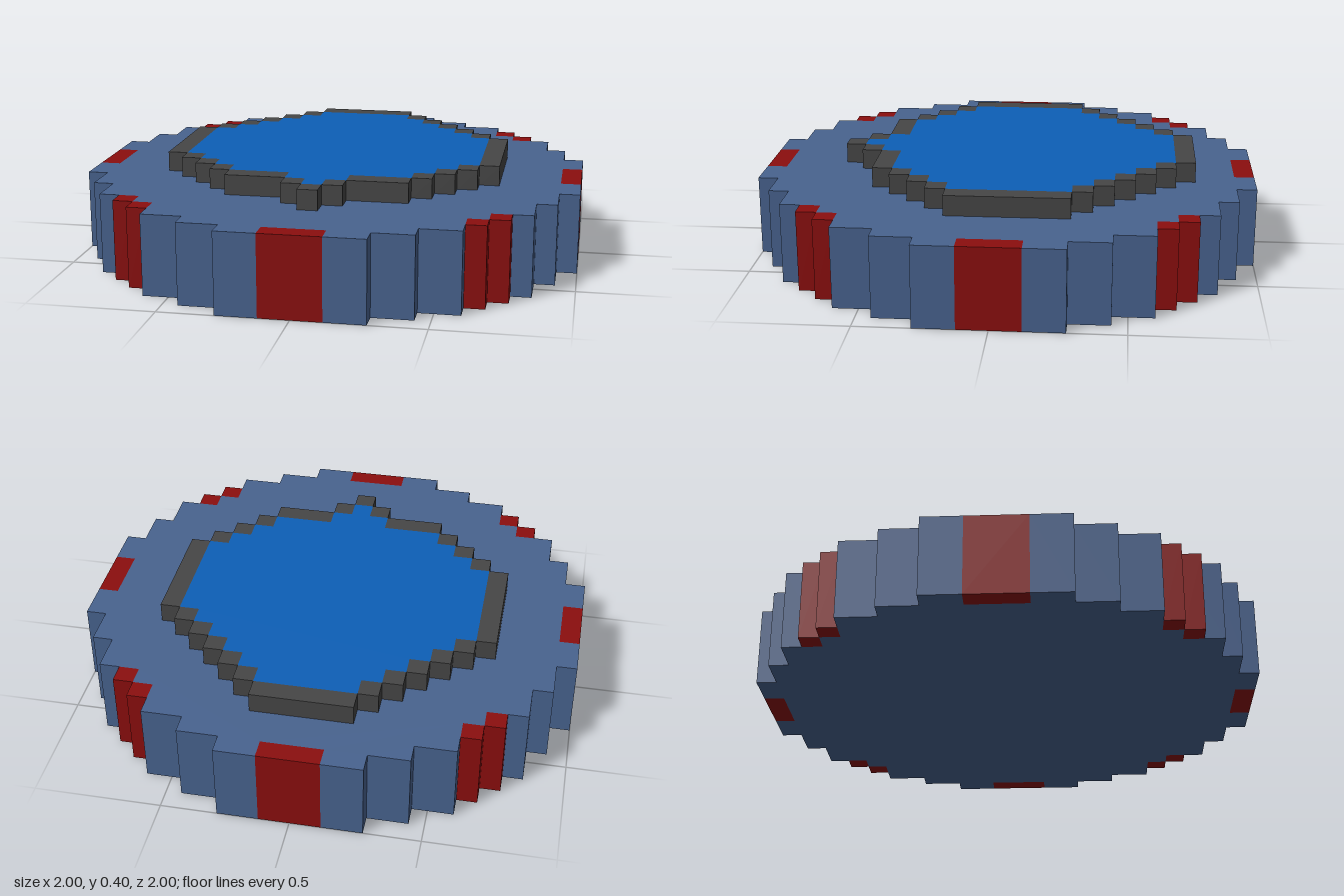
import * as THREE from 'three';

const mat = (name, color) => new THREE.MeshStandardMaterial({ name, color });

// Upright prism from an outline of [x, z] points
function prism(points, y0, y1) {
  const shape = new THREE.Shape(points.map(([x, z]) => new THREE.Vector2(x, -z)));
  const geo = new THREE.ExtrudeGeometry(shape, { depth: y1 - y0, bevelEnabled: false });
  return geo.rotateX(-Math.PI / 2).translate(0, y0, 0);
}

// Box from its limits
function block(x0, x1, y0, y1, z0, z1) {
  return new THREE.BoxGeometry(x1 - x0, y1 - y0, z1 - z0)
    .translate((x0 + x1) / 2, (y0 + y1) / 2, (z0 + z1) / 2);
}

export function createModel() {
  const model = new THREE.Group();
  const slate = mat('slateBlue', 0x48638f);
  const red = mat('darkRed', 0x8b0e0e);
  const grey = mat('darkGrey', 0x464646);
  const blue = mat('brightBlue', 0x0d5fb7);
  const add = (name, geo, material, parent = model) => {
    const mesh = new THREE.Mesh(geo, material);
    mesh.name = name;
    parent.add(mesh);
  };
  const group = (name) => {
    const g = new THREE.Group();
    g.name = name;
    model.add(g);
    return g;
  };
  const H = 0.32, TOP = 0.4;

  // Stepped round base: one quarter outline, with notches for the red blocks, mirrored round
  const quarter = [[0.12, 0.92], [0.12, 1], [0.28, 1], [0.28, 0.92], [0.44, 0.92], [0.44, 0.84],
    [0.6, 0.84], [0.6, 0.68], [0.68, 0.68], [0.68, 0.6], [0.84, 0.6], [0.84, 0.44],
    [0.92, 0.44], [0.92, 0.28], [1, 0.28], [1, 0.12], [0.92, 0.12]];
  const flip = (pts, sx, sz) => pts.map(([x, z]) => [x * sx, z * sz]);
  const back = [...quarter].reverse();
  add('base', prism([...quarter, ...flip(back, 1, -1), ...flip(quarter, -1, -1), ...flip(back, -1, 1)], 0, H), slate);

  // Red blocks on the four sides and four diagonals
  const markers = group('edgeMarkers');
  for (const s of [-1, 1]) {
    add('endMarker', block(-0.12, 0.12, 0, H, s * 0.96 - 0.04, s * 0.96 + 0.04), red, markers);
    add('sideMarker', block(s * 0.96 - 0.04, s * 0.96 + 0.04, 0, H, -0.12, 0.12), red, markers);
    for (const t of [-1, 1]) {
      for (const [x, z] of [[0.64, 0.72], [0.72, 0.64]]) {
        add('cornerMarker', block(s * x - 0.04, s * x + 0.04, 0, H, t * z - 0.04, t * z + 0.04), red, markers);
      }
    }
  }

  // Raised emblem rows: [z start, z end, inner half width, outer half width]
  const rows = [[-0.76, -0.68, 0, 0.2], [-0.68, -0.6, 0.2, 0.28], [-0.6, -0.52, 0.28, 0.36],
    [-0.52, -0.44, 0.36, 0.44], [-0.44, -0.36, 0.44, 0.52], [-0.36, -0.28, 0.52, 0.6],
    [-0.28, 0.2, 0.6, 0.68], [0.2, 0.28, 0.52, 0.6], [0.28, 0.36, 0.44, 0.52],
    [0.36, 0.44, 0.36, 0.44], [0.44, 0.52, 0.12, 0.36], [0.52, 0.6, 0.04, 0.12], [0.6, 0.68, 0, 0.04]];
  const border = group('raisedBorder');
  const edge = [];
  for (const [z0, z1, inner, outer] of rows) {
    if (inner === 0) {
      add('borderEnd', block(-outer, outer, H, TOP, z0, z1), grey, border);
      continue;
    }
    add('borderLeft', block(inner, outer, H, TOP, z0, z1), grey, border);
    add('borderRight', block(-outer, -inner, H, TOP, z0, z1), grey, border);
    edge.push([inner, z0], [inner, z1]);
  }

  // Flush centre panel filling the border
  add('centrePanel', prism([...edge, ...flip([...edge].reverse(), -1, 1)], H, TOP), blue);
  return model;
}
